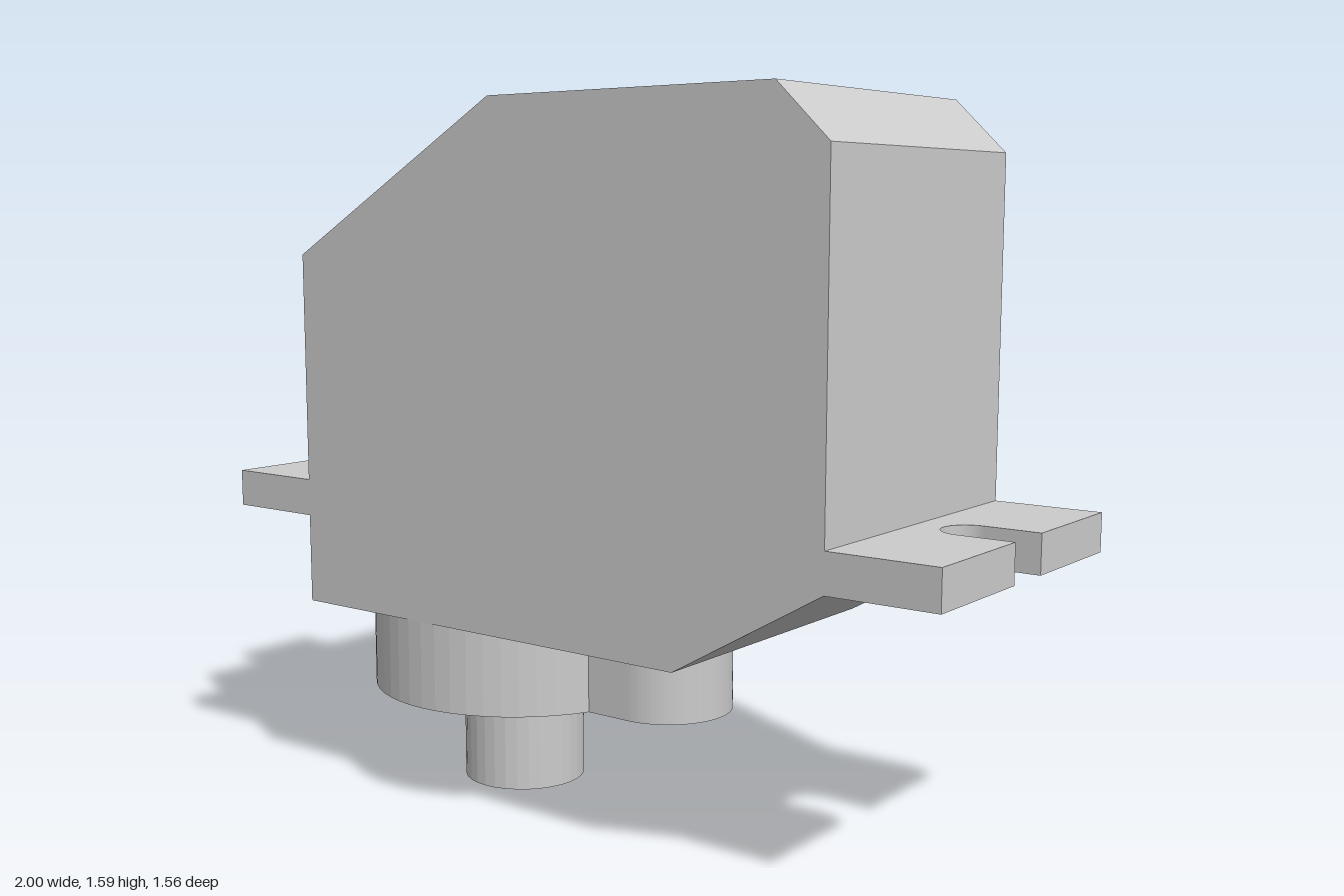
import * as THREE from 'three';

const material = new THREE.MeshStandardMaterial({ color: 0xcccccc, flatShading: true });
const HALF_W = 0.355;

function addMesh(parent, name, geometry) {
  const mesh = new THREE.Mesh(geometry, material);
  mesh.name = name;
  parent.add(mesh);
}

// Extrudes a plan shape (x, z) between two heights.
function planExtrude(shape, y0, y1) {
  const geo = new THREE.ExtrudeGeometry(shape, { depth: y1 - y0, bevelEnabled: false, curveSegments: 24 });
  return geo.rotateX(Math.PI / 2).translate(0, y1, 0);
}

export function createModel() {
  const model = new THREE.Group();
  model.name = 'servoMotor';
  // The servo stands turned about the vertical axis.
  const servo = new THREE.Group();
  servo.name = 'servo';
  servo.rotation.y = -Math.PI / 6;
  model.add(servo);

  // Case: chamfered side profile extruded across the width
  const profile = [
    [-0.706, 0.44], [0.355, 0.44], [0.706, 0.645], [0.706, 1.475],
    [0.586, 1.59], [-0.124, 1.59], [-0.706, 1.255],
  ].map(([x, y]) => new THREE.Vector2(x, y));
  const caseGeo = new THREE.ExtrudeGeometry(new THREE.Shape(profile), { depth: 2 * HALF_W, bevelEnabled: false });
  addMesh(servo, 'case', caseGeo.translate(0, 0, -HALF_W));

  // Mounting plate with an open screw slot at each end
  const end = 0.948, slotX = 0.824, slotR = 0.059;
  const plate = new THREE.Shape();
  plate.moveTo(-end, -HALF_W);
  plate.lineTo(end, -HALF_W);
  plate.lineTo(end, -slotR);
  plate.lineTo(slotX, -slotR);
  plate.absarc(slotX, 0, slotR, -Math.PI / 2, -Math.PI * 1.5, true);
  plate.lineTo(end, slotR);
  plate.lineTo(end, HALF_W);
  plate.lineTo(-end, HALF_W);
  plate.lineTo(-end, slotR);
  plate.lineTo(-slotX, slotR);
  plate.absarc(-slotX, 0, slotR, Math.PI / 2, -Math.PI / 2, true);
  plate.lineTo(-end, -slotR);
  plate.closePath();
  addMesh(servo, 'mountingPlate', planExtrude(plate, 0.645, 0.73));

  // Gear housing: large disc with a narrower rounded lobe
  const shaftX = -0.351, bigR = 0.355, lobeX = 0.082, lobeR = 0.148;
  const a = Math.asin(lobeR / bigR);
  const housing = new THREE.Shape();
  housing.absarc(shaftX, 0, bigR, a, 2 * Math.PI - a, false);
  housing.absarc(lobeX, 0, lobeR, -Math.PI / 2, Math.PI / 2, false);
  housing.closePath();
  addMesh(servo, 'gearHousing', planExtrude(housing, 0.24, 0.44));

  // Output shaft with a blind screw hole in its end
  const shaftProfile = [[0, 0.2], [0.048, 0.2], [0.048, 0], [0.144, 0], [0.144, 0.24]]
    .map(([r, y]) => new THREE.Vector2(r, y));
  addMesh(servo, 'outputShaft', new THREE.LatheGeometry(shaftProfile, 32).translate(shaftX, 0, 0));

  // Cable outlet on the end wall
  addMesh(servo, 'cableOutlet', new THREE.BoxGeometry(0.125, 0.07, 0.26).translate(-0.7625, 1.22, 0));

  return model;
}
